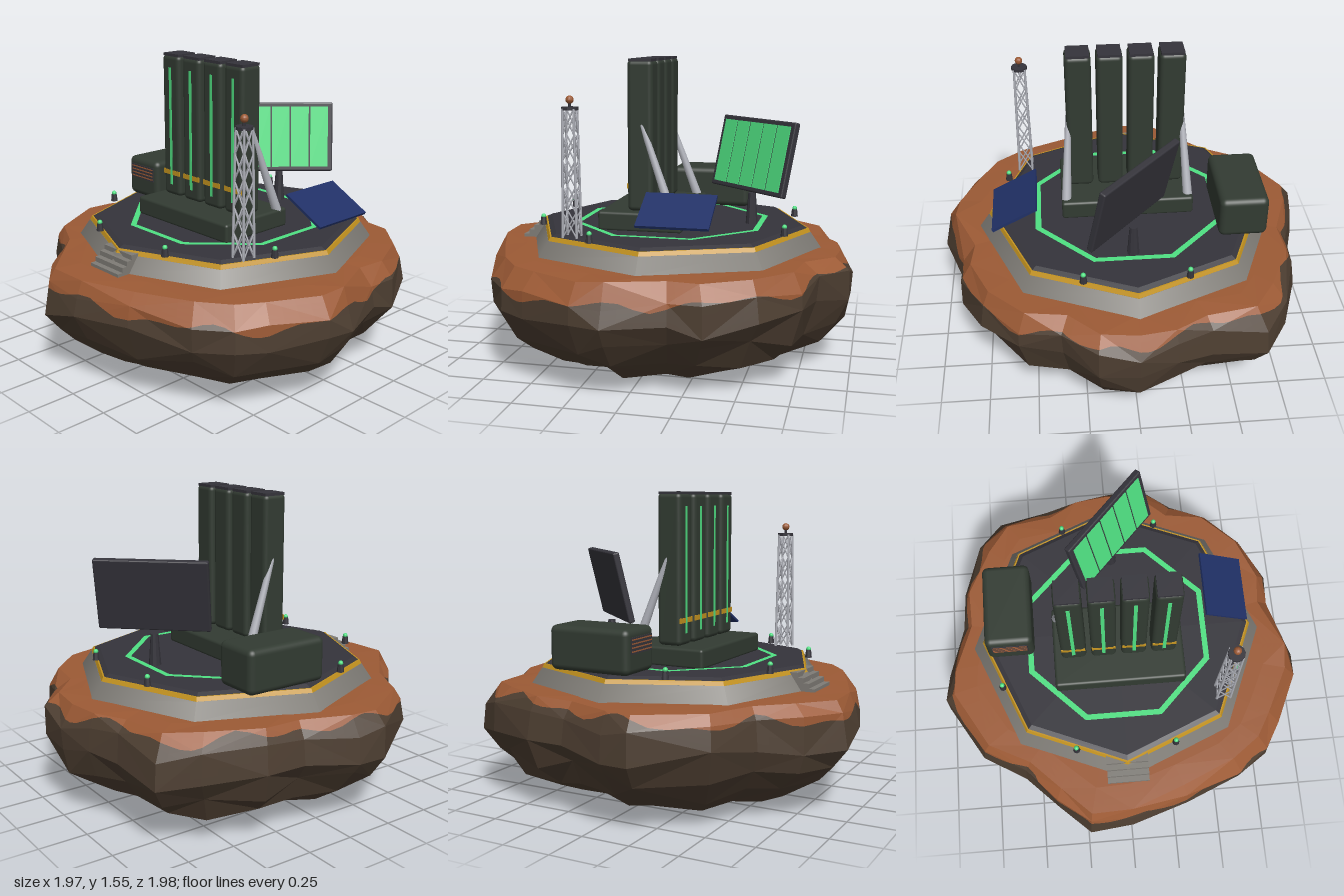
import * as THREE from 'three';
import { RoundedBoxGeometry } from 'three/addons/geometries/RoundedBoxGeometry.js';

const CX = -0.01, CZ = -0.035, DECK = 0.69; // platform centre and deck height

export function createModel() {
  const model = new THREE.Group();
  model.name = 'launchBase';
  const mat = (name, color, flat = false) => {
    const m = new THREE.MeshStandardMaterial({ color, flatShading: flat });
    m.name = name;
    return m;
  };
  const soil = mat('rustSoil', 0x9c5a35, true);
  const rock = mat('brownRock', 0x4d3e31, true);
  const concrete = mat('concrete', 0x7f7c76);
  const dark = mat('darkMetal', 0x35343b, true);
  const yellow = mat('hazardYellow', 0xc4931f, true);
  const glow = mat('glowGreen', 0x4fe082);
  const olive = mat('oliveArmour', 0x323b32);
  const steel = mat('paleSteel', 0xb0b2ba);
  const blue = mat('solarBlue', 0x203066);

  const add = (name, geo, material, x = 0, y = 0, z = 0, parent = model) => {
    const m = new THREE.Mesh(geo, material);
    m.name = name;
    m.position.set(x, y, z);
    parent.add(m);
    return m;
  };
  const box = (w, h, d) => new THREE.BoxGeometry(w, h, d);
  const cyl = (rt, rb, h, n = 8) => new THREE.CylinderGeometry(rt, rb, h, n);
  const V = (x, y, z) => new THREE.Vector3(x, y, z);
  // Rod between two points
  const rod = (name, a, b, rTop, rBottom, material, parent = model, sides = 6) => {
    const d = b.clone().sub(a), mid = a.clone().add(b).multiplyScalar(0.5);
    const m = add(name, cyl(rTop, rBottom, d.length(), sides), material, mid.x, mid.y, mid.z, parent);
    m.quaternion.setFromUnitVectors(V(0, 1, 0), d.normalize());
  };

  // Rock island: plan outline swept through rings of varying size
  let seed = 7;
  const rand = () => ((seed = (seed * 16807) % 2147483647) / 2147483647) * 2 - 1;
  const outline = [[0.99, 0.08], [0.98, 0.23], [0.85, 0.5], [0.77, 0.64], [0.61, 0.76], [0.3, 0.88],
    [0, 0.98], [-0.23, 0.99], [-0.4, 0.84], [-0.57, 0.68], [-0.79, 0.55], [-0.99, 0.23], [-0.98, 0.08],
    [-0.89, -0.19], [-0.88, -0.4], [-0.77, -0.69], [-0.65, -0.86], [-0.37, -0.9], [-0.19, -0.96], [0, -1],
    [0.2, -0.99], [0.37, -0.85], [0.58, -0.79], [0.77, -0.61], [0.88, -0.37], [0.89, -0.21]];
  const N = outline.length;
  // height, scale, height jitter, scale jitter
  const rings = [
    [0.579, 0.8, 0, 0], [0.574, 0.92, 0.007, 0.02], [0.49, 0.982, 0.035, 0.015], [0.37, 0.99, 0.045, 0.01],
    [0.25, 0.935, 0.04, 0.025], [0.14, 0.825, 0.03, 0.035], [0.055, 0.66, 0.02, 0.035], [0, 0.45, 0, 0.03],
  ].map(([y, s, jy, js]) => outline.map(([x, z]) => {
    const k = s + rand() * js;
    return V(x * k, y + rand() * jy, z * k);
  }));
  // Soil lies above this dripping line, which climbs towards the back left
  const soilHeight = p => {
    const a = Math.atan2(p.z, p.x);
    return p.y - (0.505 - 0.04 * Math.cos(a - 0.6) + 0.02 * Math.sin(9 * a) + 0.015 * Math.sin(17 * a + 1));
  };
  const soilPoints = [], rockPoints = [];
  // Each facet is cut along the line, one side per colour
  const cut = (corners, sign, out) => {
    const kept = [];
    corners.forEach((p, i) => {
      const q = corners[(i + 1) % 3], fp = sign * soilHeight(p), fq = sign * soilHeight(q);
      if (fp >= 0) kept.push(p);
      if ((fp >= 0) !== (fq >= 0)) kept.push(p.clone().lerp(q, fp / (fp - fq)));
    });
    for (let i = 1; i + 1 < kept.length; i++) {
      for (const p of [kept[0], kept[i], kept[i + 1]]) out.push(p.x, p.y, p.z);
    }
  };
  const facet = (a, b, c, depth = 2) => {
    if (depth === 0) {
      cut([a, b, c], 1, soilPoints);
      cut([a, b, c], -1, rockPoints);
      return;
    }
    const [ab, bc, ca] = [[a, b], [b, c], [c, a]].map(([p, q]) => p.clone().lerp(q, 0.5));
    for (const t of [[a, ab, ca], [ab, b, bc], [ca, bc, c], [ab, bc, ca]]) facet(...t, depth - 1);
  };
  for (let i = 0; i < N; i++) {
    const j = (i + 1) % N;
    for (let k = 0; k + 1 < rings.length; k++) {
      const u = rings[k], l = rings[k + 1];
      if ((i + k) % 2 === 0) { facet(u[i], u[j], l[i]); facet(u[j], l[j], l[i]); }
      else { facet(u[i], l[j], l[i]); facet(u[i], u[j], l[j]); }
    }
    const last = rings[rings.length - 1];
    facet(V(0, 0.579, 0), rings[0][j], rings[0][i], 0);
    facet(V(0, 0, 0), last[i], last[j], 0);
  }
  const surface = points => {
    const g = new THREE.BufferGeometry();
    g.setAttribute('position', new THREE.Float32BufferAttribute(points, 3));
    g.computeVertexNormals();
    return g;
  };
  add('soilCap', surface(soilPoints), soil);
  add('rockBody', surface(rockPoints), rock);

  // Octagonal platform
  add('foundation', cyl(0.735, 0.79, 0.08), concrete, CX, 0.617, CZ);
  add('hazardBand', cyl(0.724, 0.736, 0.024), yellow, CX, 0.665, CZ);
  add('deck', cyl(0.69, 0.72, 0.015), dark, CX, 0.6825, CZ);
  const marking = add('deckMarking', new THREE.RingGeometry(0.495, 0.527, 8, 1, Math.PI / 8), glow, CX, DECK + 0.003, CZ);
  marking.rotation.x = -Math.PI / 2;

  // Entry steps
  for (let i = 0; i < 4; i++) {
    const h = 0.025 * (i + 1), front = 0.777 - i * 0.029;
    add('step', box(0.22, h, front - 0.62), concrete, CX, 0.57 + h / 2, (front + 0.62) / 2);
  }

  // Edge lamps
  for (const [x, z] of [[0.26, -0.66], [0.63, 0.235], [0.26, 0.605]]) {
    for (const s of [-1, 1]) {
      add('lampPost', cyl(0.014, 0.019, 0.04), dark, CX + s * x, 0.705, z);
      add('lampGlow', new THREE.SphereGeometry(0.013, 10, 8), glow, CX + s * x, 0.73, z);
    }
  }

  // Launcher: plinth, four tubes, rear braces
  add('launcherPlinth', new RoundedBoxGeometry(0.69, 0.1, 0.436, 3, 0.015), olive, CX, 0.735, 0.064);
  for (let i = 0; i < 4; i++) {
    const x = CX + (i - 1.5) * 0.158;
    add('launchTube', new RoundedBoxGeometry(0.132, 0.76, 0.132, 4, 0.024), olive, x, 1.165, 0.07);
    add('tubeCap', box(0.118, 0.014, 0.118), dark, x, 1.545, 0.07);
    add('tubeLight', box(0.018, 0.635, 0.006), glow, x, 1.163, 0.135);
    add('tubeBand', box(0.124, 0.026, 0.006), yellow, x, 0.912, 0.1345);
  }
  for (const s of [-1, 1]) {
    rod('rearBrace', V(CX + s * 0.32, 0.77, -0.105), V(CX + s * 0.29, 1.225, 0.06), 0.014, 0.025, steel, model, 12);
  }

  // Equipment crate with a rusty louvred vent
  add('crate', new RoundedBoxGeometry(0.25, 0.222, 0.448, 4, 0.032), olive, -0.582, 0.8, -0.154);
  add('ventPlate', box(0.19, 0.08, 0.006), dark, -0.58, 0.832, 0.071);
  for (let i = 0; i < 4; i++) add('ventSlat', box(0.18, 0.006, 0.006), soil, -0.58, 0.804 + i * 0.019, 0.073);

  // Tilted array screen above a tapered pedestal
  add('screenPedestal', cyl(0.02, 0.032, 0.165, 10), dark, CX, 0.77, -0.46);
  const screen = new THREE.Group();
  screen.name = 'arrayScreen';
  screen.position.set(CX, 1.052, -0.466);
  screen.rotation.set(-0.23, 0.82, 0, 'YXZ');
  model.add(screen);
  add('screenFrame', new RoundedBoxGeometry(0.58, 0.382, 0.035, 2, 0.008), dark, 0, 0, 0, screen);
  for (let i = 0; i < 5; i++) add('screenCell', box(0.098, 0.335, 0.008), glow, (i - 2) * 0.107, 0, 0.018, screen);

  // Solar panel
  const solar = add('solarPanel', box(0.256, 0.014, 0.352), blue, 0.575, 0.85, -0.184);
  solar.rotation.z = -0.49;

  // Lattice mast
  const mast = new THREE.Group();
  mast.name = 'latticeMast';
  mast.position.set(0.527, DECK, 0.353);
  model.add(mast);
  const H = 0.63, LEVELS = 5;
  const corner = (k, level) => {
    const t = level / LEVELS, w = 0.036 - 0.008 * t, a = Math.PI / 4 + k * Math.PI / 2;
    return V(Math.cos(a) * w * Math.SQRT2, H * t, Math.sin(a) * w * Math.SQRT2);
  };
  for (let k = 0; k < 4; k++) {
    rod('mastLeg', corner(k, 0), corner(k, LEVELS), 0.006, 0.007, steel, mast);
    for (let l = 0; l < LEVELS; l++) {
      rod('mastBrace', corner(k, l), corner(k + 1, l + 1), 0.004, 0.004, steel, mast, 5);
      rod('mastBrace', corner(k + 1, l), corner(k, l + 1), 0.004, 0.004, steel, mast, 5);
    }
  }
  add('mastCap', cyl(0.042, 0.042, 0.015, 12), dark, 0, H, 0, mast);
  rod('beaconStem', V(0, H, 0), V(0, H + 0.03, 0), 0.008, 0.008, dark, mast);
  add('beacon', new THREE.SphereGeometry(0.02, 12, 10), soil, 0, H + 0.042, 0, mast);

  return model;
}
